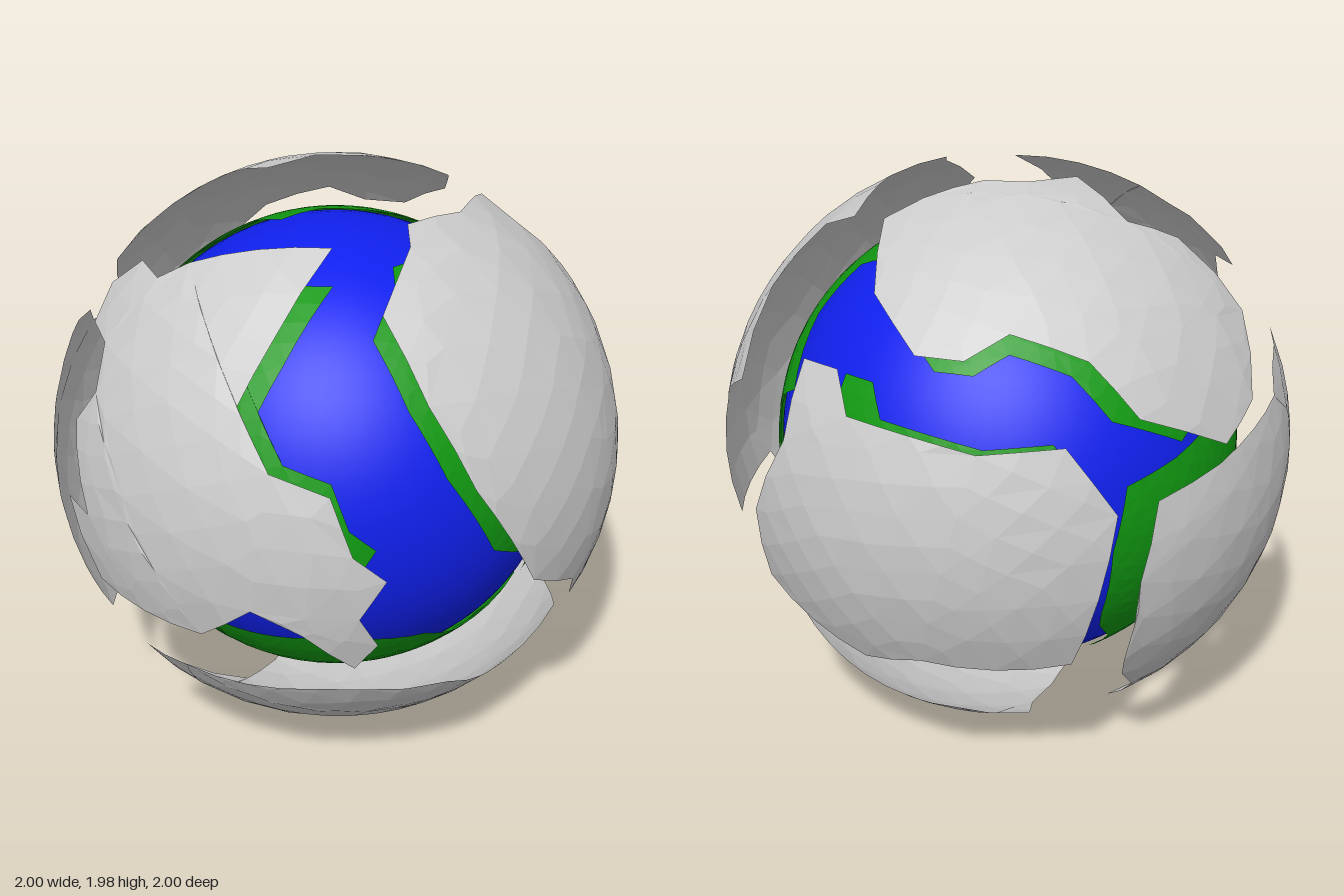
import * as THREE from 'three';

// Outline corners of each plate, as directions from the globe's centre
const PLATES = {
  frontPlate: [
    .36, .89, .27, .46, .68, .57, .48, .52, .71, .63, .35, .7, .77, .29, .57, .84, .1, .535,
    .895, .01, .445, .85, -.13, .515, .86, -.245, .45, .79, -.35, .49, .73, -.2, .65,
    .62, -.12, .77, .45, -.27, .85, 0, -.25, .97, -.08, -.11, .99, -.15, .01, .99, 0, .01, 1,
    -.1, .21, .97, -.135, .29, .95, -.055, .41, .91, -.12, .54, .83, -.26, .55, .79,
    -.31, .65, .69, -.21, .75, .63, -.055, .745, .66, .025, .81, .59],
  rightPlate: [
    .39, .92, 0, .36, .9, -.24, .23, .88, -.41, .16, .85, -.5, .31, .79, -.53, .35, .6, -.72,
    .23, .34, -.91, .41, .24, -.88, .45, -.27, -.85, .79, -.24, -.57, .78, -.47, -.42,
    .88, -.26, -.33, .99, -.13, -.08, .95, .26, .15, .82, .52, .24, .61, .75, .26, .47, .88, .05],
  topPlate: [
    -.58, .6, -.55, -.46, .6, -.65, -.22, .73, -.65, .01, .88, -.475, -.03, .94, -.35,
    -.1, .98, -.16, -.19, .98, -.05, -.2, .97, .14, -.45, .88, .16, -.49, .8, .34,
    -.585, .69, .43, -.66, .57, .485, -.86, .35, .375, -.945, .27, .2, -.9, .42, -.12,
    -.775, .59, -.225, -.62, .67, -.41],
  backPlate: [
    -.11, .52, -.85, -.26, .525, -.81, -.36, .41, -.84, -.72, .355, -.6, -.855, .37, -.365,
    -.96, .15, -.24, -.85, -.41, -.325, -.56, -.41, -.72, -.36, -.46, -.8, 0, -.28, -.96,
    0, -.02, -1, -.14, .27, -.95],
  leftPlate: [
    -.51, .41, .755, -.58, .28, .76, -.455, .01, .89, -.39, -.14, .91, -.3, -.26, .92,
    -.1, -.38, .92, -.18, -.505, .84, -.47, -.62, .63, -.54, -.73, .42, -.64, -.71, .3,
    -.56, -.83, .05, -.75, -.65, 0, -.84, -.53, -.11, -.89, -.44, -.14, -.98, -.1, -.16,
    -.98, .17, -.1, -.96, .22, .16, -.79, .3, .53, -.73, .37, .57],
  bottomPlate: [
    .075, -.52, .85, .28, -.5, .82, .68, -.475, .56, .76, -.48, .435, .84, -.53, .14,
    .77, -.63, -.075, .73, -.61, -.29, .66, -.555, -.49, .3, -.64, -.71, -.45, -.73, -.51,
    -.5, -.83, -.25, -.31, -.94, -.1, -.12, -.97, .2, -.02, -.92, .39, -.05, -.76, .65, 0, -.65, .76],
};

// Fill a spherical outline with small triangles lying on the unit sphere
function sphericalPatch(flat, maxEdge) {
  const corners = [];
  for (let i = 0; i < flat.length; i += 3) {
    corners.push(new THREE.Vector3().fromArray(flat, i).normalize());
  }
  const centre = corners.reduce((s, p) => s.add(p), new THREE.Vector3()).normalize();

  // Project onto the tangent plane, where great circles become straight lines
  const turn = new THREE.Quaternion().setFromUnitVectors(centre, new THREE.Vector3(0, 0, 1));
  const plane = corners.map((p) => {
    const q = p.clone().applyQuaternion(turn);
    return new THREE.Vector2(q.x / q.z, q.y / q.z);
  });

  // Halve the longest edge until every triangle is small
  const positions = [];
  function split(a, b, c) {
    const ab = a.distanceTo(b), bc = b.distanceTo(c), ca = c.distanceTo(a);
    const longest = Math.max(ab, bc, ca);
    if (longest <= maxEdge) {
      for (const p of [a, b, c]) positions.push(p.x, p.y, p.z);
      return;
    }
    if (longest === bc) return split(b, c, a);
    if (longest === ca) return split(c, a, b);
    const mid = a.clone().add(b).normalize();
    split(a, mid, c);
    split(mid, b, c);
  }
  for (const [i, j, k] of THREE.ShapeUtils.triangulateShape(plane, [])) {
    const a = corners[i], b = corners[j], c = corners[k];
    const outward = b.clone().sub(a).cross(c.clone().sub(a)).dot(centre) > 0;
    if (outward) split(a, b, c);
    else split(a, c, b);
  }

  const geometry = new THREE.BufferGeometry();
  geometry.setAttribute('position', new THREE.Float32BufferAttribute(positions, 3));
  geometry.computeVertexNormals();
  return geometry;
}

export function createModel() {
  const model = new THREE.Group();
  model.name = 'platedGlobe';

  const grey = new THREE.MeshStandardMaterial({ color: 0xcccccc, flatShading: true, side: THREE.DoubleSide });
  const green = new THREE.MeshStandardMaterial({ color: 0x119911, side: THREE.DoubleSide });
  const blue = new THREE.MeshStandardMaterial({ color: 0x1020ee });

  const globe = new THREE.Group();
  globe.name = 'globe';
  globe.position.y = 1;
  model.add(globe);

  // Inner ocean ball
  const ocean = new THREE.Mesh(new THREE.SphereGeometry(0.8, 64, 40), blue);
  ocean.name = 'ocean';
  globe.add(ocean);

  // Each floating plate has a matching land patch on the ball beneath it
  for (const [name, outline] of Object.entries(PLATES)) {
    const plate = new THREE.Mesh(sphericalPatch(outline, 0.2), grey);
    plate.name = name;
    const land = new THREE.Mesh(sphericalPatch(outline, 0.12), green);
    land.name = name.replace('Plate', 'Land');
    land.scale.setScalar(0.815);
    globe.add(plate, land);
  }
  return model;
}
